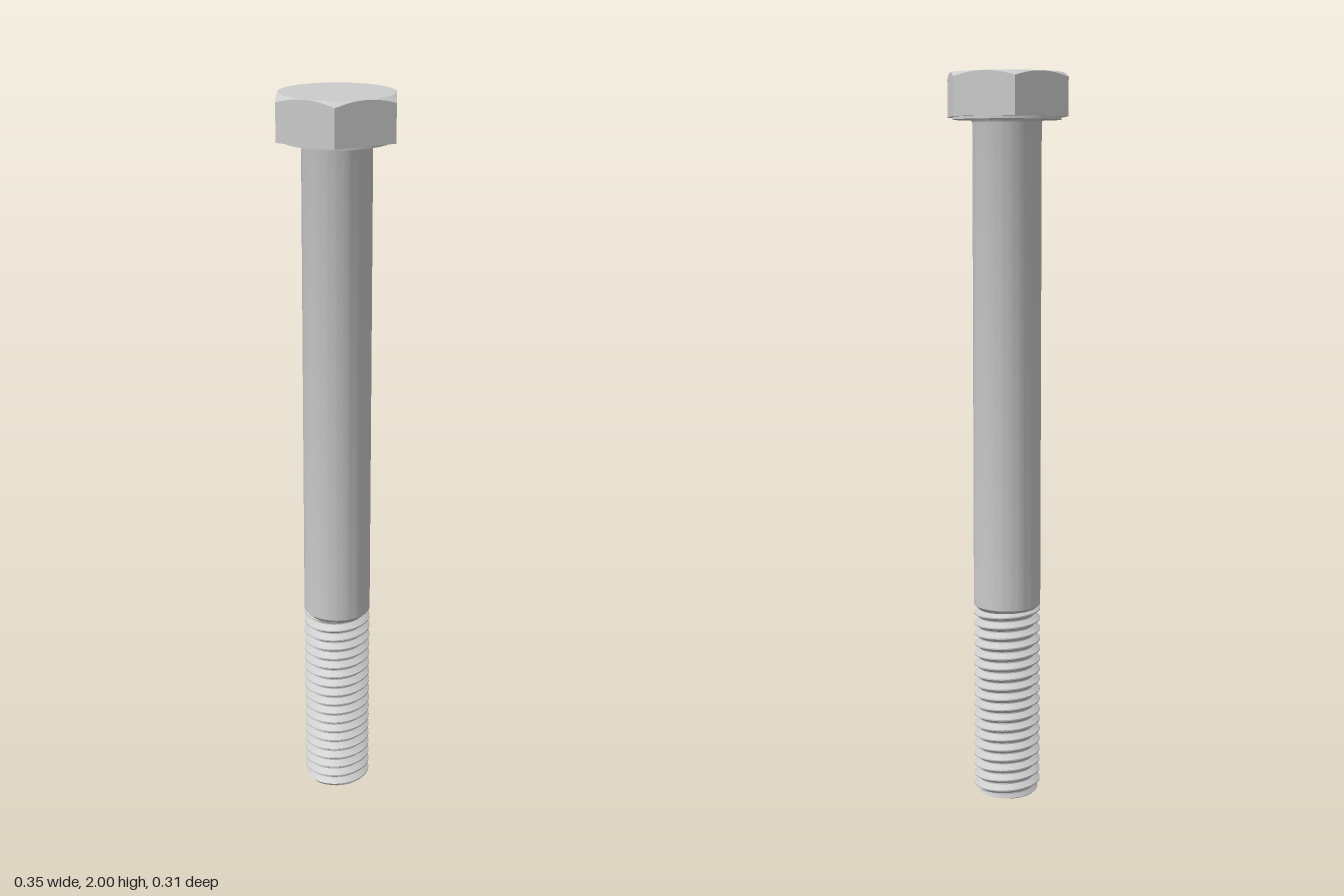
import * as THREE from 'three';
import { toCreasedNormals } from 'three/addons/utils/BufferGeometryUtils.js';

const material = new THREE.MeshStandardMaterial({ color: 0xcccccc });
const FLAT = 0.1525;        // half the width across the flats
const SHANK = 0.093, ROOT = 0.076;
const PITCH = 0.0293, THREAD_TOP = 0.54;
const HEAD_BOTTOM = 1.884;

function addMesh(group, name, geometry) {
  const mesh = new THREE.Mesh(geometry, material);
  mesh.name = name;
  group.add(mesh);
}

// Surface of revolution, profile running from bottom to top
function lathe(points, segments = 72) {
  return new THREE.LatheGeometry(points.map(([r, y]) => new THREE.Vector2(r, y)), segments);
}

// Hexagonal head: a lathe whose rim is pushed out to the hexagon, with a conical top chamfer
function headGeometry() {
  const geometry = lathe([[0, HEAD_BOTTOM], [1, HEAD_BOTTOM], [1, 1.99], [0.1515, 2], [0, 2]]);
  const pos = geometry.attributes.position;
  const sector = Math.PI / 3;
  for (let i = 0; i < pos.count; i++) {
    const x = pos.getX(i), z = pos.getZ(i);
    if (Math.hypot(x, z) < 0.9) continue;
    const angle = Math.atan2(x, z);
    const r = FLAT / Math.cos(angle - Math.round(angle / sector) * sector);
    const y = pos.getY(i) > 1.95 ? 2 - (r - 0.1515) * Math.tan(Math.PI / 6) : HEAD_BOTTOM;
    pos.setXYZ(i, r * Math.sin(angle), y, r * Math.cos(angle));
  }
  return toCreasedNormals(geometry, 0.4);
}

// Right-hand thread: a tooth profile swept up a helix, clipped at both ends
function threadGeometry() {
  const steps = 48;
  const turns = Math.ceil(THREAD_TOP / PITCH) + 1;
  const tooth = [[0, ROOT], [0.12, ROOT], [0.5, SHANK], [0.62, SHANK], [1, ROOT]];
  const positions = [], indices = [];

  const toothRadius = (phase) => {
    const f = phase - Math.floor(phase);
    const k = tooth.findIndex((p) => p[0] > f);
    const [a, ra] = tooth[k - 1], [b, rb] = tooth[k];
    return ra + (rb - ra) * (f - a) / (b - a);
  };

  // Each flank has its own vertices, so crests and roots stay sharp
  for (let j = 0; j < tooth.length - 1; j++) {
    const start = positions.length / 3;
    const count = (turns + 1) * steps;
    for (let i = 0; i <= count; i++) {
      const turn = i / steps - 1;
      const angle = turn * Math.PI * 2;
      for (const [offset, radius] of [tooth[j], tooth[j + 1]]) {
        const free = (turn + offset) * PITCH;
        const y = THREE.MathUtils.clamp(free, 0, THREAD_TOP);
        let r = y === free ? radius : toothRadius(y / PITCH - turn);
        r = Math.min(r, 0.079 + y);
        positions.push(r * Math.sin(angle), y, r * Math.cos(angle));
      }
      if (i < count) {
        const a = start + i * 2;
        indices.push(a, a + 2, a + 1, a + 1, a + 2, a + 3);
      }
    }
  }
  const geometry = new THREE.BufferGeometry();
  geometry.setAttribute('position', new THREE.Float32BufferAttribute(positions, 3));
  geometry.setIndex(indices);
  geometry.computeVertexNormals();
  return geometry;
}

export function createModel() {
  const bolt = new THREE.Group();
  bolt.name = 'hexBolt';

  addMesh(bolt, 'head', headGeometry());

  // Thin round bearing face under the head
  addMesh(bolt, 'washerFace', toCreasedNormals(lathe([
    [0, 1.877], [0.146, 1.877], [0.146, HEAD_BOTTOM + 0.002],
  ]), 0.5));

  // Plain shank, bevelled where the thread begins, small fillet under the head
  addMesh(bolt, 'shank', toCreasedNormals(lathe([
    [0, 0.53], [ROOT, 0.53], [SHANK, 0.546], [SHANK, 1.868], [0.095, 1.874], [0.099, 1.878],
  ]), 0.5));

  addMesh(bolt, 'thread', threadGeometry());

  // Flat tip closing the threaded end
  const tip = new THREE.CircleGeometry(0.0775, 48);
  tip.rotateX(Math.PI / 2);
  addMesh(bolt, 'tip', tip);

  return bolt;
}
